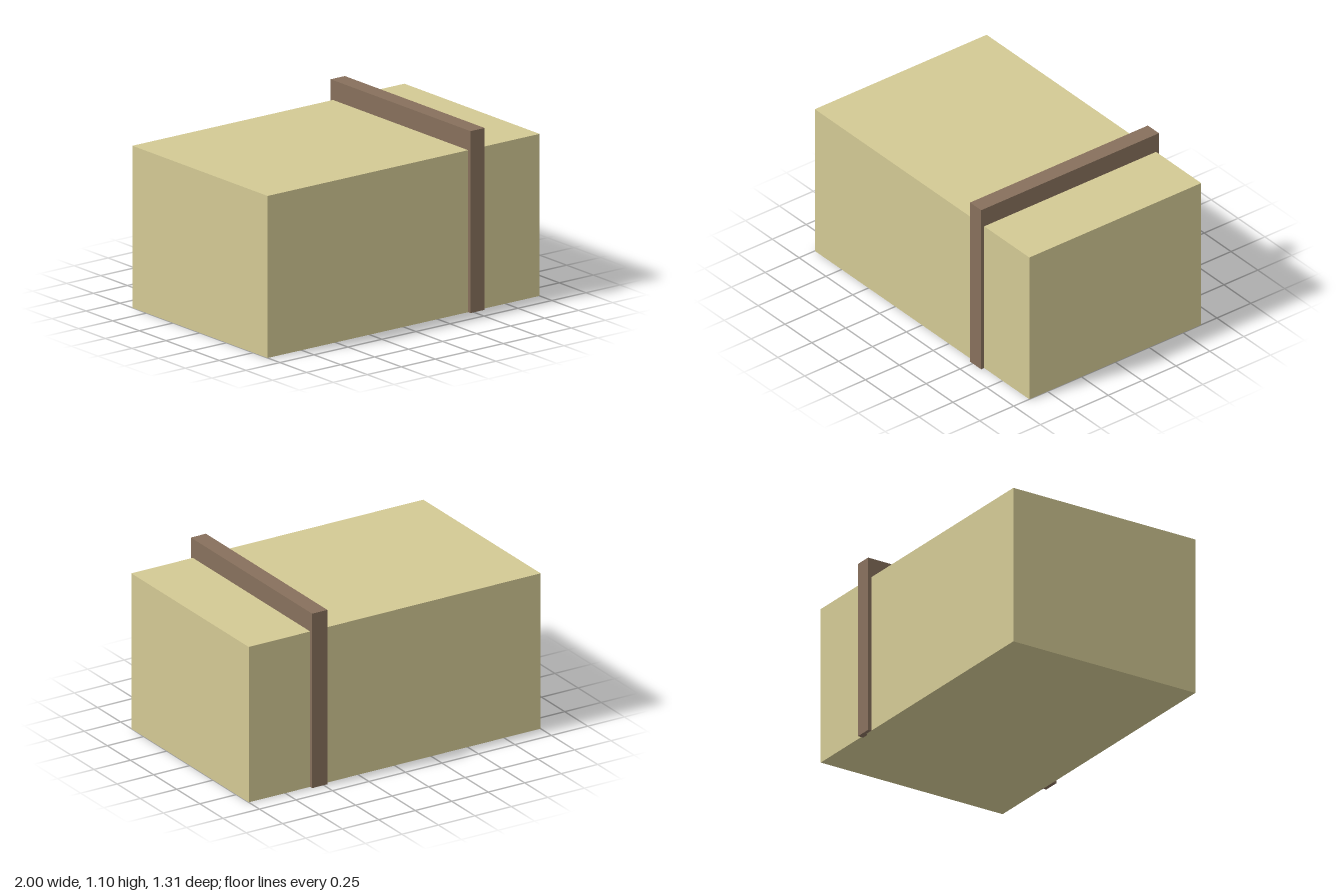
import * as THREE from 'three';

export function createModel() {
  const group = new THREE.Group();
  const add = (name, geometry, color) => {
    const mesh = new THREE.Mesh(geometry, new THREE.MeshStandardMaterial({ color, flatShading: true }));
    mesh.name = name;
    group.add(mesh);
    return mesh;
  };

  // Main block
  const [length, height, depth] = [2, 0.98, 1.268];
  add('body', new THREE.BoxGeometry(length, height, depth), 0xd3c994).position.y = height / 2;

  // Upright band arching over the block: outline in z and y, extruded along x
  const outer = 0.656, inner = 0.62, top = 1.1, underside = 0.96;
  const arch = new THREE.Shape([
    [-outer, 0], [-inner, 0], [-inner, underside], [inner, underside],
    [inner, 0], [outer, 0], [outer, top], [-outer, top],
  ].map(([z, y]) => new THREE.Vector2(z, y)));
  const width = 0.104;
  const bandGeometry = new THREE.ExtrudeGeometry(arch, { depth: width, bevelEnabled: false });
  bandGeometry.translate(0, 0, -width / 2).rotateY(Math.PI / 2);
  add('band', bandGeometry, 0x87705c).position.x = 0.527;

  return group;
}
